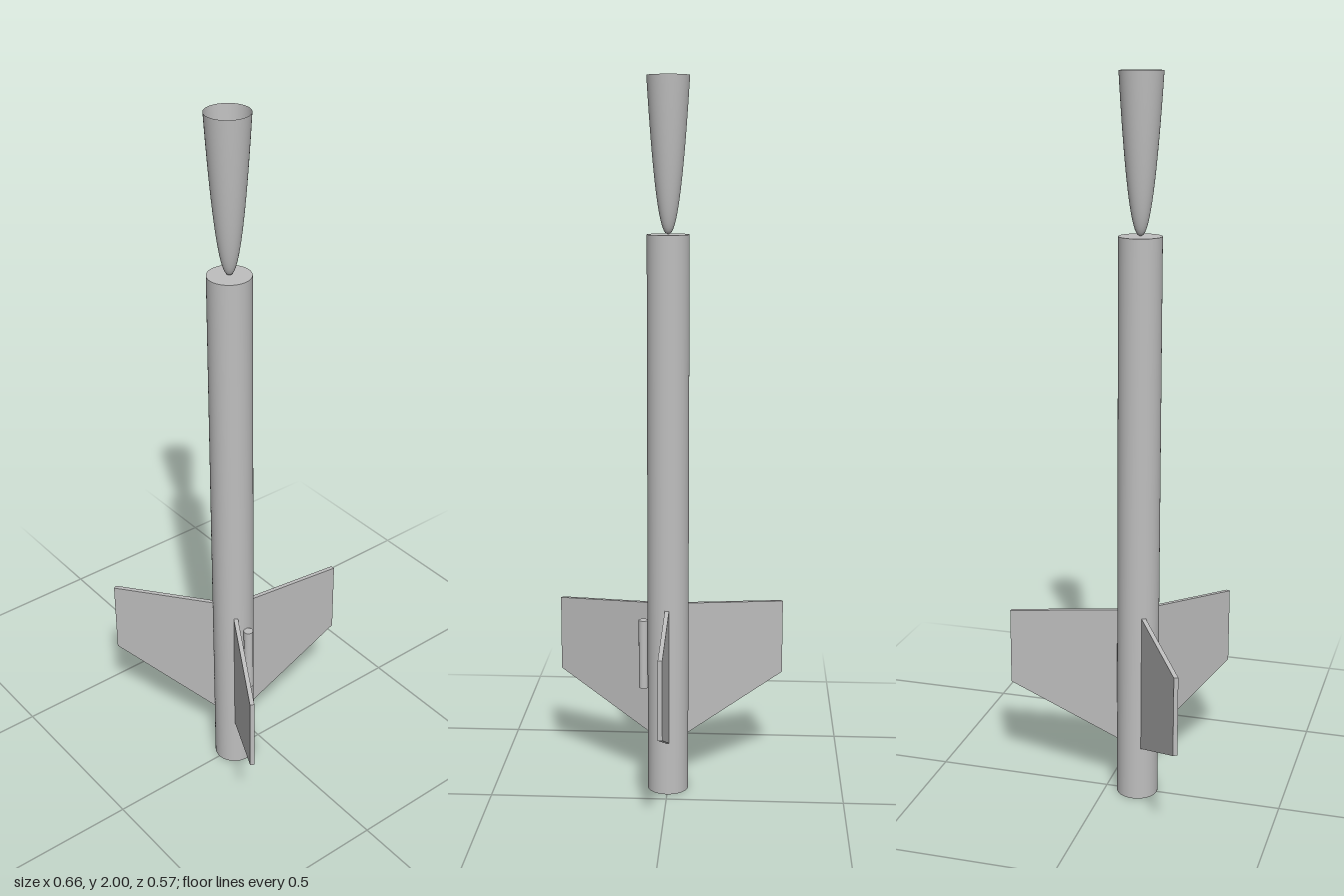
import * as THREE from 'three';

const RADIUS = 0.058;

export function createModel() {
  const model = new THREE.Group();
  model.name = 'rocket';
  const grey = new THREE.MeshStandardMaterial({ color: 0xbfbfbf, side: THREE.DoubleSide });
  grey.name = 'light grey';

  // All parts are placed around the axis of the body tube
  const axis = new THREE.Group();
  axis.name = 'airframe';
  axis.position.z = 0.09;
  model.add(axis);

  const add = (name, geometry, x = 0, y = 0, z = 0) => {
    const mesh = new THREE.Mesh(geometry, grey);
    mesh.name = name;
    mesh.position.set(x, y, z);
    axis.add(mesh);
    return mesh;
  };

  // Closed body tube
  const bodyHeight = 1.583;
  add('bodyTube', new THREE.CylinderGeometry(RADIUS, RADIUS, bodyHeight, 48), 0, bodyHeight / 2, 0);

  // Hollow nose cone, tip down and open at the top
  const noseHeight = 2 - bodyHeight;
  const steps = 24;
  const profile = [];
  for (let i = 0; i <= steps; i++) {
    const t = (i / steps) ** 1.5;
    profile.push(new THREE.Vector2(RADIUS * t ** 0.43, noseHeight * t));
  }
  add('noseCone', new THREE.LatheGeometry(profile, 48), 0, bodyHeight, 0);

  // Three tapered fins, one pointing straight back
  const thickness = 0.012;
  const finShape = new THREE.Shape([
    new THREE.Vector2(RADIUS - 0.004, 0.153),
    new THREE.Vector2(0.375, 0.29),
    new THREE.Vector2(0.375, 0.508),
    new THREE.Vector2(RADIUS - 0.004, 0.545),
  ]);
  const finGeometry = new THREE.ExtrudeGeometry(finShape, { depth: thickness, bevelEnabled: false });
  finGeometry.translate(0, 0, -thickness / 2);
  ['backFin', 'rightFin', 'leftFin'].forEach((name, i) => {
    add(name, finGeometry).rotation.y = Math.PI / 2 + (i * Math.PI * 2) / 3;
  });

  // Launch lug on the left side of the tube
  add('launchLug', new THREE.CylinderGeometry(0.0135, 0.0135, 0.2, 24), 0.07, 0.4, 0);

  return model;
}
